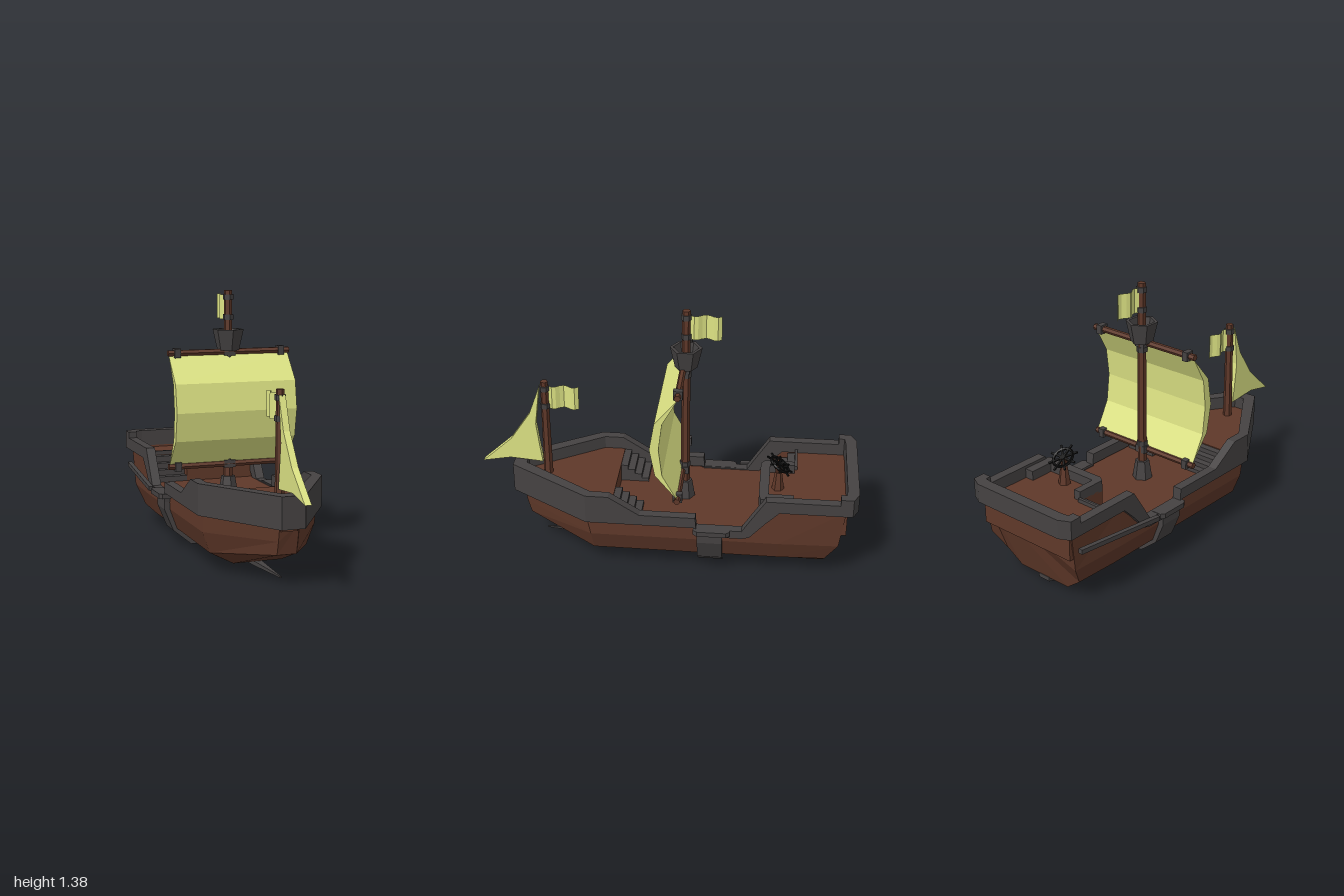
import * as THREE from 'three';

const mat = (color) => new THREE.MeshStandardMaterial({ color, flatShading: true, side: THREE.DoubleSide });
const wood = mat(0x5f3829), trim = mat(0x454242), cloth = mat(0xdde384), iron = mat(0x0c0c0c);

// Skin a row of cross-sections; closed joins last point to first, cap fills both ends
function loft(rings, closed, cap) {
  const n = rings[0].length, index = [];
  for (let i = 0; i < rings.length - 1; i++) {
    for (let j = 0; j < (closed ? n : n - 1); j++) {
      const k = (j + 1) % n, a = i * n + j, b = i * n + k, c = a + n, d = b + n;
      index.push(a, b, c, b, d, c);
    }
  }
  if (cap) {
    for (let j = 1; j < n - 1; j++) {
      const e = (rings.length - 1) * n;
      index.push(0, j + 1, j, e, e + j, e + j + 1);
    }
  }
  const g = new THREE.BufferGeometry();
  g.setAttribute('position', new THREE.Float32BufferAttribute(rings.flat(2), 3));
  g.setIndex(index);
  const flat = g.toNonIndexed();
  flat.computeVertexNormals();
  return flat;
}

export function createModel() {
  const ship = new THREE.Group();
  ship.name = 'sailingShip';
  const add = (name, geo, material, x = 0, y = 0, z = 0) => {
    const m = new THREE.Mesh(geo, material);
    m.name = name;
    m.position.set(x, y, z);
    ship.add(m);
    return m;
  };
  // Box given by its limits on each axis
  const box = (name, material, x0, x1, y0, y1, z0, z1) =>
    add(name, new THREE.BoxGeometry(x1 - x0, y1 - y0, z1 - z0), material, (x0 + x1) / 2, (y0 + y1) / 2, (z0 + z1) / 2);
  const prism = (name, material, rTop, rBottom, y0, y1, x, z, sides = 6) =>
    add(name, new THREE.CylinderGeometry(rTop, rBottom, y1 - y0, sides), material, x, (y0 + y1) / 2, z);
  const shape = (pts) => new THREE.Shape(pts.map(([a, b]) => new THREE.Vector2(a, b)));
  // Plan outline (x, z) raised from y0 to y1
  const slab = (name, material, pts, y0, y1) => {
    const g = new THREE.ExtrudeGeometry(shape(pts.map(([x, z]) => [x, -z])), { depth: y1 - y0, bevelEnabled: false });
    add(name, g.rotateX(-Math.PI / 2), material, 0, y0, 0);
  };
  // Side outline (z, y) spanning a width across x
  const sideCut = (name, material, pts, width) => {
    const g = new THREE.ExtrudeGeometry(shape(pts.map(([z, y]) => [-z, y])), { depth: width, bevelEnabled: false });
    add(name, g.translate(0, 0, -width / 2).rotateY(Math.PI / 2), material);
  };

  // Hull: half sections from gunwale to bottom, bow to stern
  const halves = [
    [[.05, .32, .78], [.05, .23, .763], [.05, .16, .745], [.04, .16, .745]],
    [[.3, .32, .4], [.3, .21, .38], [.26, .1, .37], [.13, .03, .355]],
    [[.3, .32, .2], [.3, .21, .2], [.26, .1, .2], [.16, .03, .2]],
    [[.3, .29, -.17], [.3, .21, -.17], [.26, .1, -.17], [.16, .03, -.17]],
    [[.3, .28, -.42], [.3, .21, -.42], [.26, .1, -.42], [.16, .03, -.42]],
    [[.3, .43, -.6], [.3, .21, -.6], [.26, .1, -.6], [.16, .03, -.6]],
    [[.3, .43, -.94], [.29, .21, -.91], [.25, .1, -.845], [.16, .03, -.835]],
  ];
  const mirror = (p) => [-p[0], p[1], p[2]];
  add('hull', loft(halves.map((h) => [...h, ...h.map(mirror).reverse()]), false, true), wood);

  // Bulwark rail: [outer x, outer z, inner x, inner z, bottom y, top y] from bow to stern
  const rail = [
    [.06, .83, .03, .76, .3, .46], [.33, .4, .28, .38, .3, .46], [.33, .28, .28, .28, .3, .46],
    [.33, .12, .28, .12, .3, .36], [.33, -.17, .28, -.17, .3, .36], [.33, -.175, .28, -.175, .25, .295],
    [.33, -.41, .28, -.41, .25, .295], [.33, -.45, .28, -.45, .26, .36], [.33, -.53, .28, -.53, .35, .485],
    [.33, -.6, .28, -.6, .42, .485], [.33, -.905, .28, -.905, .42, .485], [.33, -.906, .28, -.906, .42, .52],
    [.33, -.97, .28, -.935, .42, .52], [.27, -1, .24, -.94, .42, .52], [0, -1, 0, -.94, .42, .52],
  ].map(([ox, oz, ix, iz, y0, y1]) => [[ox, y0, oz], [ox, y1, oz], [ix, y1, iz], [ix, y0, iz]]);
  add('bulwark', loft([...rail.map((r) => r.map(mirror)).reverse(), ...rail], true, false), trim);

  // Keel with a pointed, raised tip
  const keel = [[.67, .003, .026, .034], [.36, .02, .01, .034], [.1, .035, .004, .034], [-.8, .035, 0, .034], [-.84, .035, .012, .034]];
  add('keel', loft(keel.map(([z, w, y0, y1]) => [[w, y0, z], [w, y1, z], [-w, y1, z], [-w, y0, z]]), true, true), trim);

  // Band wrapped around the hull amidships, with its side caps
  const outer = [[.33, .295], [.33, .21], [.28, .09], [.18, .008]];
  const inner = [[.16, .035], [.255, .11], [.295, .215], [.295, .295]];
  const flip = (pts) => pts.map(([x, y]) => [-x, y]).reverse();
  const band = [...outer, ...flip(outer), ...flip(inner), ...inner];
  add('hullBand', new THREE.ExtrudeGeometry(shape(band), { depth: .13, bevelEnabled: false }), trim, 0, 0, -.31);
  for (const s of [-1, 1]) {
    const cap = [[.29, -.16], [.345, -.16], [.36, -.18], [.36, -.33], [.345, -.35], [.29, -.35]];
    slab('sideCap', trim, cap.map(([x, z]) => [s * x, z]), .27, .297);
  }
  // Spar stowed along one side
  const spar = box('sideSpar', trim, -.012, .012, -.012, .012, -.27, .27);
  spar.position.set(-.337, .31, -.64);
  spar.rotation.set(.08, -.045, 0);

  // Decks
  box('mainDeck', wood, -.295, .295, .25, .29, -.53, .3);
  slab('foreDeck', wood, [[-.29, .27], [.29, .27], [.29, .4], [.04, .78], [-.04, .78], [-.29, .4]], .28, .39);
  slab('quarterDeck', wood, [[-.1, -.51], [.29, -.51], [.29, -.945], [-.29, -.945], [-.29, -.67], [-.1, -.67]], .28, .42);

  // Stairs to both raised decks
  for (let i = 0; i < 4; i++) {
    const yF = .31 + i * .025, yQ = .32 + i * .032;
    for (const s of [-1, 1]) {
      box('foreStep', trim, s * .195 - .085, s * .195 + .085, .285, yF, .12 + i * .0375, .272);
    }
    box('quarterStep', trim, -.28, -.1, .285, yQ, -.672, -.51 - i * .04);
  }

  // Quarterdeck railing around the stairwell
  slab('quarterRail', trim, [[-.1, -.67], [-.06, -.67], [-.06, -.54], [.23, -.54], [.23, -.67], [.285, -.67],
    [.285, -.5], [.24, -.49], [-.07, -.49], [-.1, -.51]], .41, .47);
  box('stairPost', trim, -.285, -.1, .41, .44, -.685, -.67);

  // Masts with collars and bands
  const mainZ = -.09, foreZ = .65;
  prism('mainMast', wood, .021, .025, .28, 1.375, 0, mainZ);
  prism('mainMastBase', trim, .037, .055, .28, .39, 0, mainZ);
  prism('foreMast', wood, .02, .025, .38, .94, 0, foreZ);
  for (const [y, z] of [[1.34, mainZ], [1.235, mainZ], [1.02, mainZ], [.49, mainZ], [.9, foreZ], [.8, foreZ]]) {
    prism('mastBand', trim, .028, .028, y - .014, y + .014, 0, z);
  }

  // Crow's nest: open hexagonal tub
  const tub = [[0, 0], [.058, 0], [.083, .11], [.066, .11], [.05, .03], [0, .03]].map(([r, y]) => new THREE.Vector2(r, y));
  add('crowsNest', new THREE.LatheGeometry(tub, 6), trim, 0, 1.062, mainZ);

  // Yards with end clamps
  for (const y of [1.055, .458]) {
    const yard = add('yard', new THREE.CylinderGeometry(.017, .017, .67, 6), wood, 0, y, -.076);
    yard.rotation.z = Math.PI / 2;
    for (const x of [-.287, .287]) box('yardClamp', trim, x - .016, x + .016, y - .024, y + .024, -.1, -.052);
    box('yardMount', trim, -.03, .03, y - .02, y + .02, -.11, -.06);
  }

  // Square main sail, billowing forward
  sideCut('mainSail', cloth, [[-.075, 1.04], [.04, .905], [.065, .757], [.037, .607], [-.075, .47],
    [0, .607], [.018, .757], [0, .905]], .66);
  // Fore sail
  sideCut('foreSail', cloth, [[.675, .915], [.735, .75], [.84, .595], [1, .45], [.85, .478], [.675, .463],
    [.688, .56], [.703, .69]], .034);

  // Flags rippling aft
  for (const [y, z] of [[1.285, mainZ], [.85, foreZ]]) {
    const g = new THREE.PlaneGeometry(.16, .13, 8, 1);
    const p = g.attributes.position;
    for (let i = 0; i < p.count; i++) {
      const t = p.getX(i) / .16 + .5;
      p.setXYZ(i, .014 * Math.sin(t * Math.PI * 3), p.getY(i), -.02 - .16 * t);
    }
    add('flag', g, cloth, 0, y, z);
  }

  // Steering wheel on a pedestal
  prism('wheelPedestal', wood, .018, .034, .41, .52, .09, -.585);
  prism('wheelPost', wood, .022, .016, .52, .56, .09, -.585);
  const wheel = new THREE.Group();
  wheel.name = 'steeringWheel';
  wheel.position.set(.09, .565, -.59);
  wheel.rotation.x = -Math.PI / 2 - .6;
  wheel.add(new THREE.Mesh(new THREE.TorusGeometry(.054, .008, 5, 16), iron));
  wheel.add(new THREE.Mesh(new THREE.CylinderGeometry(.016, .016, .016, 8).rotateX(Math.PI / 2), iron));
  for (let i = 0; i < 4; i++) {
    const spoke = new THREE.Mesh(new THREE.BoxGeometry(.16, .01, .008), iron);
    spoke.rotation.z = i * Math.PI / 4;
    wheel.add(spoke);
  }
  wheel.children.forEach((m, i) => { m.name = ['wheelRim', 'wheelHub'][i] || 'wheelSpoke'; });
  ship.add(wheel);

  return ship;
}
